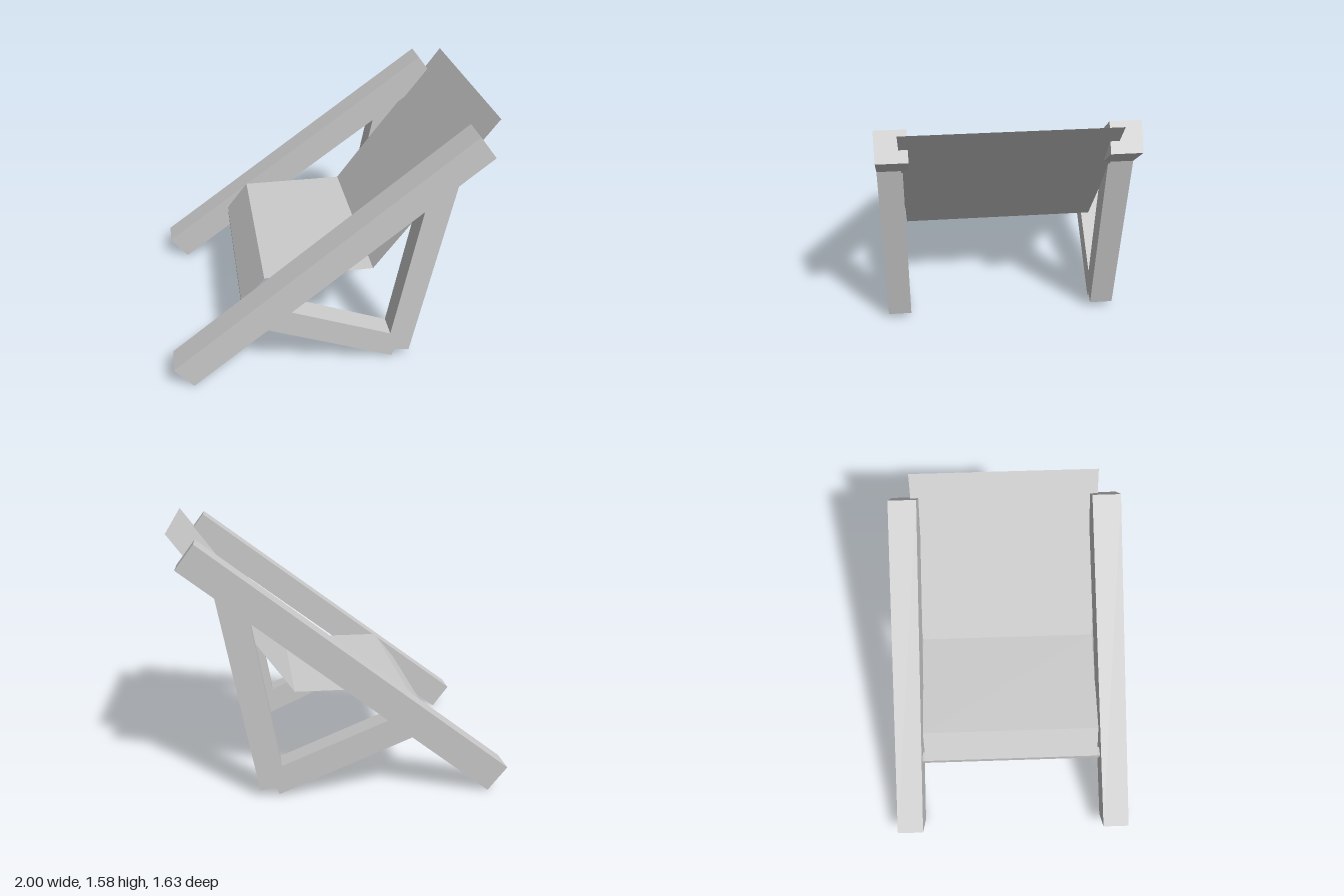
import * as THREE from 'three';

const material = new THREE.MeshStandardMaterial({ color: 0xcccccc, flatShading: true });
const clothMaterial = new THREE.MeshStandardMaterial({
  color: 0xcccccc, flatShading: true, side: THREE.DoubleSide,
});

const SPLAY = 0.049; // the sides draw together towards the top
const OUTER = 0.767; // z of the outer faces at x = 0

// Timber cut from a side outline, flush with the outer face of its side (+1 or -1)
function timber(name, outline, width, side) {
  const shape = new THREE.Shape(outline.map(([x, y]) => new THREE.Vector2(x, y)));
  const geometry = new THREE.ExtrudeGeometry(shape, { depth: width, bevelEnabled: false });
  geometry.translate(0, 0, side > 0 ? OUTER - width : -OUTER);
  geometry.applyMatrix4(new THREE.Matrix4().set(
    1, 0, 0, 0,
    0, 1, 0, 0,
    -side * SPLAY, 0, 1, 0,
    0, 0, 0, 1));
  geometry.computeVertexNormals();
  const mesh = new THREE.Mesh(geometry, material);
  mesh.name = name;
  return mesh;
}

// Sling cloth: a thin strip following a profile of [x, y] from the top down
function sling(profile, width) {
  const geometry = new THREE.PlaneGeometry(width, 1, 1, profile.length - 1);
  const position = geometry.attributes.position;
  for (let i = 0; i < position.count; i++) {
    const [x, y] = profile[Math.floor(i / 2)];
    position.setXYZ(i, x, y, position.getX(i));
  }
  const flat = geometry.toNonIndexed();
  flat.computeVertexNormals();
  const mesh = new THREE.Mesh(flat, clothMaterial);
  mesh.name = 'slingCloth';
  return mesh;
}

export function createModel() {
  const model = new THREE.Group();
  model.name = 'deckChair';

  // Two side frames: long sloping rail, rear leg and lower strut
  for (const side of [1, -1]) {
    const frame = new THREE.Group();
    frame.name = side > 0 ? 'frontSideFrame' : 'backSideFrame';
    frame.add(
      timber('rail', [[-0.885, 0], [0.948, 1.395], [0.838, 1.54], [-1, 0.148]], 0.178, side),
      timber('rearLeg', [[0.35, 0.07], [0.505, 0.04], [0.735, 1.233], [0.54, 1.085]], 0.146, side),
      timber('lowerStrut', [[-0.41, 0.362], [0.39, 0.012], [0.446, 0.165], [-0.265, 0.475]], 0.146, side),
    );
    model.add(frame);
  }

  // Crossbar under the front edge of the seat
  const bar = new THREE.Mesh(new THREE.BoxGeometry(0.06, 0.065, 1.28), material);
  bar.name = 'frontCrossbar';
  bar.position.set(-0.52, 0.392, 0);
  model.add(bar);

  // Backrest, seat and front flap in one strip
  model.add(sling([[1, 1.58], [0.28, 0.61], [-0.405, 0.612], [-0.552, 0.425]], 1.19));

  return model;
}
